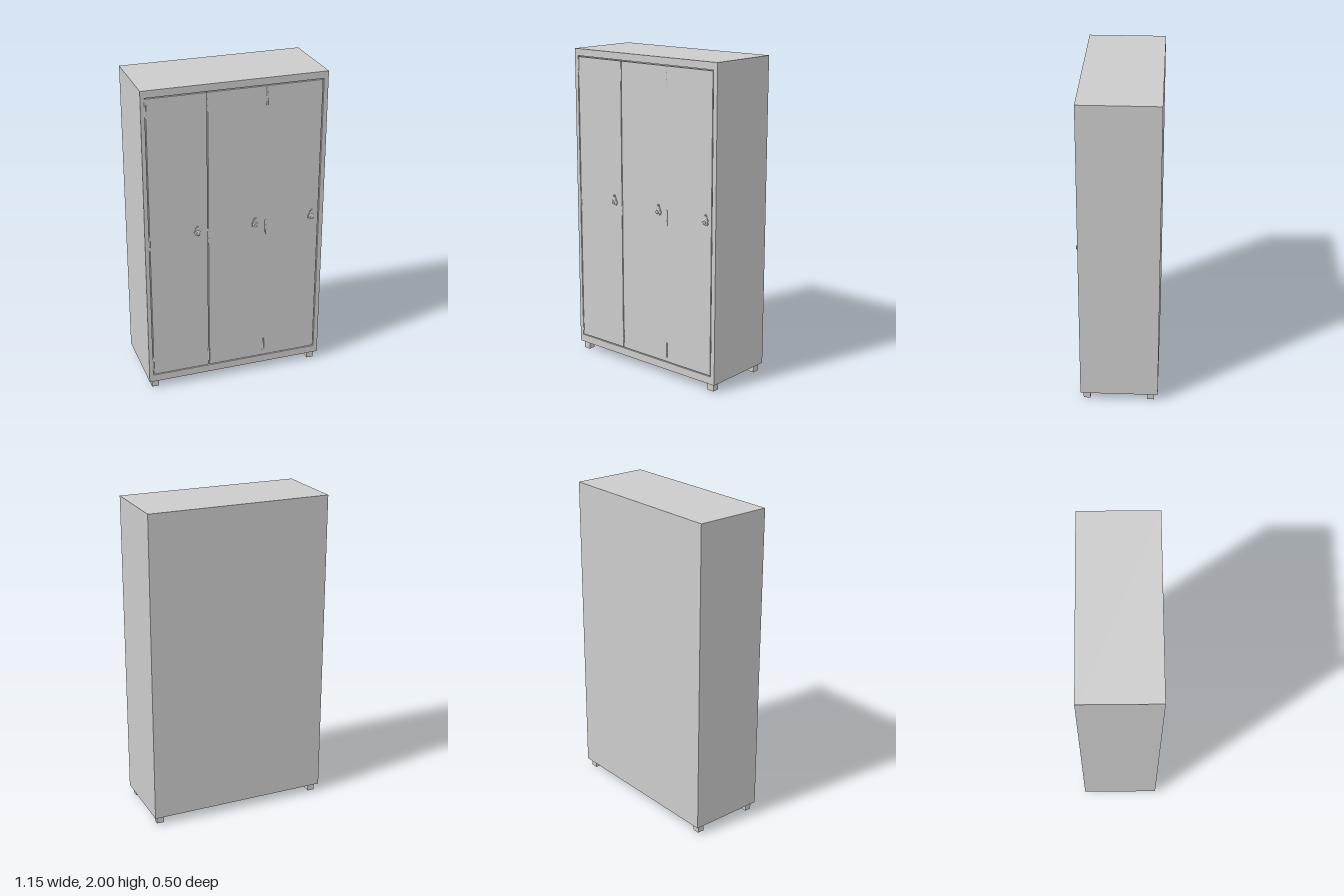
import * as THREE from 'three';

const material = new THREE.MeshStandardMaterial({ color: 0xcccccc });
const FRONT = 0.235, BACK = -0.25;

function add(parent, name, geometry, x = 0, y = 0, z = 0) {
  const mesh = new THREE.Mesh(geometry, material);
  mesh.name = name;
  mesh.position.set(x, y, z);
  parent.add(mesh);
  return mesh;
}

// Box given by its extents
function addBox(parent, name, x0, x1, y0, y1, z0, z1) {
  return add(parent, name, new THREE.BoxGeometry(x1 - x0, y1 - y0, z1 - z0),
    (x0 + x1) / 2, (y0 + y1) / 2, (z0 + z1) / 2);
}

function rectangle(Type, x0, x1, y0, y1) {
  return new Type([[x0, y0], [x1, y0], [x1, y1], [x0, y1]].map(p => new THREE.Vector2(...p)));
}

// Teardrop plate, domed base, knob and small lock pin above it
function createHandle() {
  const handle = new THREE.Group();
  handle.name = 'handle';

  const plate = new THREE.Shape();
  plate.absarc(0, 0, 0.024, Math.PI * 0.8, Math.PI * 2.2, false);
  plate.lineTo(0.009, 0.036);
  plate.absarc(0, 0.04, 0.009, 0, Math.PI, false);
  add(handle, 'handlePlate', new THREE.ExtrudeGeometry(plate,
    { depth: 0.006, bevelEnabled: false, curveSegments: 16 }), 0, 0, -0.002);

  const profile = [[0.019, 0.003], [0.016, 0.007], [0.008, 0.008], [0.007, 0.01],
    [0.011, 0.011], [0.011, 0.014], [0.008, 0.016], [0, 0.016]];
  const knob = new THREE.LatheGeometry(profile.map(p => new THREE.Vector2(...p)), 20);
  add(handle, 'handleKnob', knob.rotateX(Math.PI / 2));

  const pin = new THREE.CylinderGeometry(0.005, 0.006, 0.006, 12).rotateX(Math.PI / 2);
  add(handle, 'lockPin', pin, 0, 0.04, 0.005);
  return handle;
}

// Upright barrel made of three knuckles
function createHinge(height) {
  const hinge = new THREE.Group();
  hinge.name = 'hinge';
  const part = height / 3;
  for (let i = -1; i <= 1; i++) {
    add(hinge, 'hingeKnuckle', new THREE.CylinderGeometry(0.006, 0.006, part - 0.002, 12), 0, i * part, 0);
  }
  add(hinge, 'hingePin', new THREE.CylinderGeometry(0.004, 0.004, height, 10));
  return hinge;
}

export function createModel() {
  const cabinet = new THREE.Group();
  cabinet.name = 'cabinet';

  // Open-fronted carcass and its back
  const outline = rectangle(THREE.Shape, -0.575, 0.575, 0.05, 2);
  outline.holes.push(rectangle(THREE.Path, -0.55, 0.547, 0.098, 1.956));
  add(cabinet, 'carcass', new THREE.ExtrudeGeometry(outline,
    { depth: FRONT - BACK - 0.02, bevelEnabled: false }), 0, 0, BACK + 0.02);
  addBox(cabinet, 'backPanel', -0.575, 0.575, 0.05, 2, BACK, BACK + 0.02);

  // Doors: the last two meet without a gap
  for (const [x0, x1] of [[-0.544, -0.181], [-0.175, 0.19], [0.19, 0.541]]) {
    addBox(cabinet, 'door', x0, x1, 0.104, 1.95, FRONT - 0.025, FRONT - 0.001);
  }

  // Three hinges on the edge of each door
  for (const x of [-0.547, -0.178, 0.192]) {
    for (const [y, height] of [[0.18, 0.1], [1.032, 0.1], [1.89, 0.12]]) {
      const hinge = createHinge(height);
      hinge.position.set(x, y, FRONT - 0.004);
      cabinet.add(hinge);
    }
  }

  // Door handles
  for (const x of [-0.245, 0.125, 0.497]) {
    const handle = createHandle();
    handle.position.set(x, 1.06, FRONT - 0.001);
    cabinet.add(handle);
  }

  // Square feet
  for (const x of [-0.533, 0.533]) {
    for (const z of [-0.205, 0.195]) {
      add(cabinet, 'foot', new THREE.BoxGeometry(0.045, 0.052, 0.043), x, 0.026, z);
    }
  }
  return cabinet;
}
